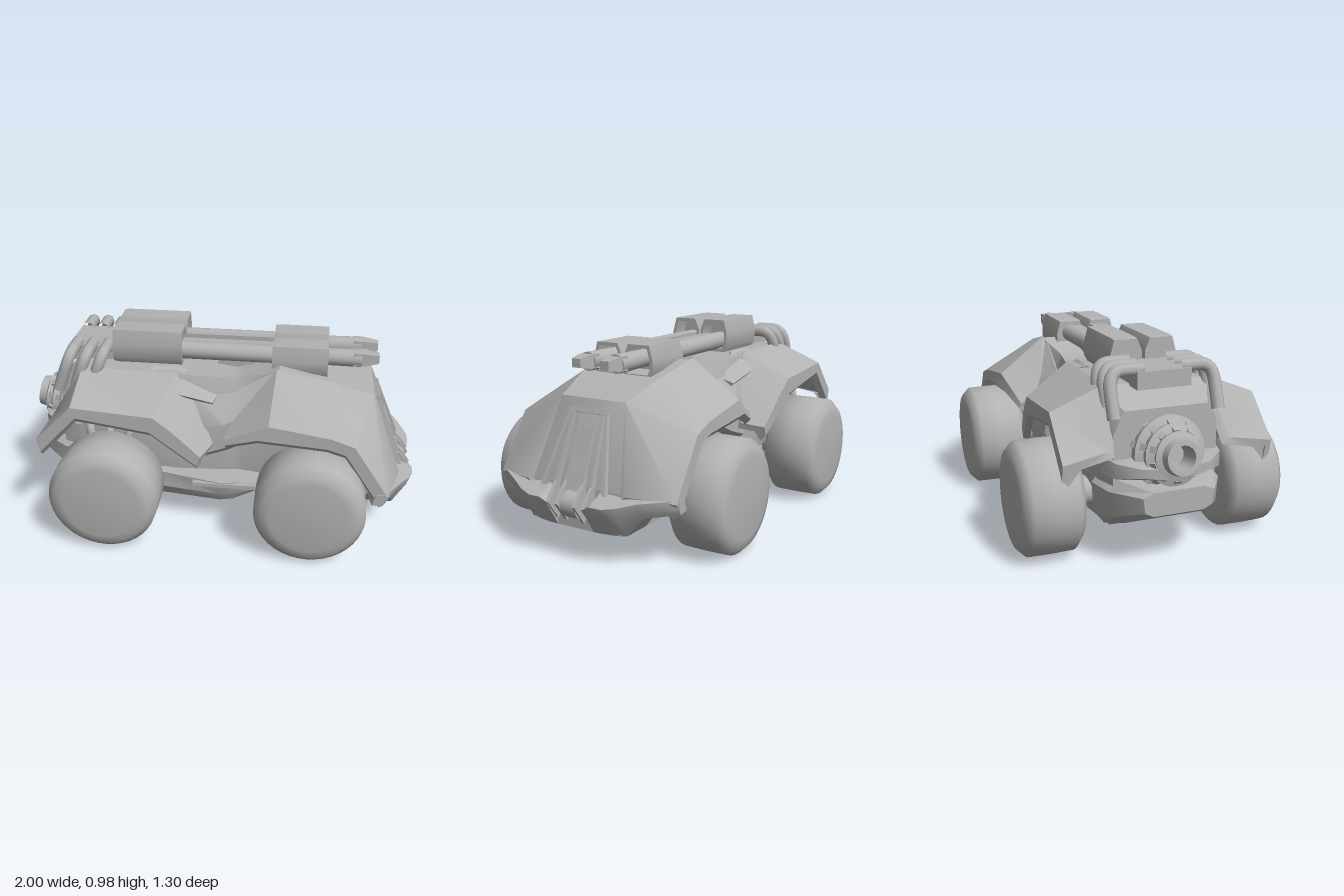
import * as THREE from 'three';
import { toCreasedNormals, mergeGeometries } from 'three/addons/utils/BufferGeometryUtils.js';

// Closed solid through a list of equal-length point loops, with end caps.
function loft(sections) {
  const tris = [], n = sections[0].length, last = sections.length - 1;
  const mid = s => [0, 1, 2].map(k => s.reduce((a, p) => a + p[k], 0) / n);
  for (let i = 0; i < last; i++) for (let j = 0; j < n; j++) {
    const a = sections[i][j], b = sections[i][(j + 1) % n];
    const c = sections[i + 1][(j + 1) % n], d = sections[i + 1][j];
    tris.push([a, b, c], [a, c, d]);
  }
  const m0 = mid(sections[0]), m1 = mid(sections[last]);
  for (let j = 0; j < n; j++) {
    const k = (j + 1) % n;
    tris.push([sections[0][k], sections[0][j], m0], [sections[last][j], sections[last][k], m1]);
  }
  // the signed volume tells whether the faces point outward
  let volume = 0;
  for (const [a, b, c] of tris) {
    volume += a[0] * (b[1] * c[2] - b[2] * c[1]) - a[1] * (b[0] * c[2] - b[2] * c[0]) + a[2] * (b[0] * c[1] - b[1] * c[0]);
  }
  const flat = tris.flatMap(t => (volume < 0 ? [t[0], t[2], t[1]] : t)).flat();
  const geo = new THREE.BufferGeometry();
  geo.setAttribute('position', new THREE.Float32BufferAttribute(flat, 3));
  geo.computeVertexNormals();
  return geo;
}

// Mirror across the centre plane, keeping the faces outward.
function mirrorZ(geo) {
  const g = geo.clone().applyMatrix4(new THREE.Matrix4().makeScale(1, 1, -1));
  for (const name of ['position', 'normal']) {
    const a = g.attributes[name].array;
    for (let i = 0; i < a.length; i += 9) for (let k = 0; k < 3; k++) {
      [a[i + k], a[i + 6 + k]] = [a[i + 6 + k], a[i + k]];
    }
  }
  return g;
}

const box = (w, h, d, x, y, z, tilt = 0) => new THREE.BoxGeometry(w, h, d).rotateZ(tilt).translate(x, y, z);
const rodX = (r0, r1, x0, x1, y, z, sides = 16) =>
  new THREE.CylinderGeometry(r0, r1, x1 - x0, sides).rotateZ(Math.PI / 2).translate((x0 + x1) / 2, y, z);
const rodZ = (r, z0, z1, x, y, sides = 20) =>
  new THREE.CylinderGeometry(r, r, z1 - z0, sides).rotateX(Math.PI / 2).translate(x, y, (z0 + z1) / 2);
const tube = (pts, r) => new THREE.TubeGeometry(
  new THREE.CatmullRomCurve3(pts.map(p => new THREE.Vector3(...p)), false, 'catmullrom', 0.3), 20, r, 8);

// Symmetric section: half outline of [y, z] from top to bottom.
const ring = (x, half) => [
  ...half.map(([y, z]) => [x, y, z]), ...half.slice().reverse().map(([y, z]) => [x, y, -z])];

// Bent armour plate of some thickness from rows of [top, shoulder, lower edge].
const plate = (rows, t = 0.03) => loft(rows.map(row =>
  [...row, ...row.slice().reverse().map(([x, y, z]) => [x, y - t, z - t])]));

export function createModel() {
  const group = new THREE.Group();
  const grey = new THREE.MeshStandardMaterial({ color: 0xb2b2b2 });
  grey.name = 'armour grey';

  function part(name, geo, both = false, crease = 0.6) {
    const g = toCreasedNormals(geo.index ? geo.toNonIndexed() : geo, crease);
    const add = (geometry, label) => {
      const mesh = new THREE.Mesh(geometry, grey);
      mesh.name = label;
      group.add(mesh);
    };
    add(g, both ? name + 'Left' : name);
    if (both) add(mirrorZ(g), name + 'Right');
  }

  // Hull
  part('hull', loft([
    ring(-0.80, [[0.72, 0.20], [0.62, 0.25], [0.36, 0.25], [0.22, 0.16]]),
    ring(-0.68, [[0.81, 0.255], [0.70, 0.28], [0.36, 0.28], [0.145, 0.22]]),
    ring(-0.20, [[0.81, 0.265], [0.72, 0.28], [0.36, 0.31], [0.145, 0.28]]),
    ring(0.08, [[0.77, 0.19], [0.64, 0.25], [0.36, 0.28], [0.145, 0.26]]),
    ring(0.13, [[0.785, 0.19], [0.65, 0.25], [0.36, 0.28], [0.20, 0.25]]),
    ring(0.24, [[0.81, 0.21], [0.70, 0.25], [0.37, 0.29], [0.16, 0.25]]),
    ring(0.30, [[0.84, 0.235], [0.72, 0.26], [0.38, 0.30], [0.145, 0.25]]),
    ring(0.54, [[0.785, 0.215], [0.72, 0.25], [0.38, 0.30], [0.145, 0.26]]),
    ring(0.77, [[0.71, 0.175], [0.68, 0.20], [0.35, 0.28], [0.145, 0.26]]),
    ring(0.91, [[0.34, 0.26], [0.30, 0.27], [0.22, 0.26], [0.15, 0.24]]),
  ]));
  part('bellyRail', box(0.28, 0.02, 0.08, 0.6, 0.14, 0));

  // Side sills with a step
  part('sill', loft([
    [[-0.30, 0.30, 0.2], [-0.30, 0.29, 0.34], [-0.30, 0.21, 0.35], [-0.30, 0.145, 0.31], [-0.30, 0.145, 0.2]],
    [[0.02, 0.29, 0.2], [0.02, 0.28, 0.40], [0.02, 0.20, 0.38], [0.02, 0.145, 0.35], [0.02, 0.145, 0.2]],
    [[0.09, 0.29, 0.2], [0.09, 0.28, 0.39], [0.09, 0.20, 0.37], [0.09, 0.15, 0.34], [0.09, 0.15, 0.2]],
    [[0.22, 0.28, 0.2], [0.22, 0.27, 0.35], [0.22, 0.22, 0.34], [0.22, 0.20, 0.31], [0.22, 0.20, 0.2]],
  ]), true);
  part('sillStep', box(0.32, 0.02, 0.05, 0.05, 0.265, 0.38), true);

  // Wheels, axles and suspension
  const tyre = [[0, -0.145], [0.19, -0.145], [0.232, -0.14], [0.268, -0.11], [0.27, 0],
    [0.268, 0.105], [0.232, 0.14], [0.19, 0.147], [0, 0.15]].map(p => new THREE.Vector2(...p));
  for (const [label, x] of [['rear', -0.525], ['front', 0.483]]) {
    part(label + 'Wheel', new THREE.LatheGeometry(tyre, 40).rotateX(Math.PI / 2).translate(x, 0.27, 0.498), true, 0.9);
    part(label + 'Axle', rodZ(0.07, 0.2, 0.38, x, 0.27), true);
    part(label + 'Struts', mergeGeometries([-0.1, 0, 0.1].map(d =>
      tube([[x + d * 0.8, 0.42, 0.38], [x + d, 0.54, 0.37], [x + d * 1.2, 0.60, 0.27]], 0.022))), true, 0.9);
  }

  // Front fenders
  part('frontFender', plate([
    [[0.08, 0.60, 0.34], [0.05, 0.55, 0.43], [0.06, 0.525, 0.44]],
    [[0.29, 0.85, 0.235], [0.27, 0.665, 0.48], [0.22, 0.59, 0.485]],
    [[0.56, 0.785, 0.215], [0.57, 0.62, 0.485], [0.55, 0.565, 0.485]],
    [[0.77, 0.71, 0.175], [0.68, 0.585, 0.49], [0.64, 0.54, 0.49]],
    [[0.92, 0.335, 0.27], [0.855, 0.32, 0.49], [0.82, 0.27, 0.49]],
  ]), true);

  // Rear fenders
  part('rearFender', plate([
    [[-0.84, 0.56, 0.29], [-0.865, 0.53, 0.50], [-0.85, 0.46, 0.50]],
    [[-0.68, 0.815, 0.25], [-0.68, 0.715, 0.50], [-0.66, 0.66, 0.50]],
    [[-0.20, 0.815, 0.26], [-0.28, 0.68, 0.49], [-0.30, 0.60, 0.49]],
    [[-0.10, 0.66, 0.29], [-0.19, 0.60, 0.48], [-0.22, 0.53, 0.48]],
    [[-0.01, 0.48, 0.35], [-0.06, 0.46, 0.46], [-0.08, 0.41, 0.46]],
  ]), true);

  // Pointed blades and waist panels between the fenders
  part('shoulderBlade', plate([
    [[-0.34, 0.82, 0.20], [-0.32, 0.805, 0.27], [-0.30, 0.785, 0.30]],
    [[-0.18, 0.82, 0.20], [-0.16, 0.77, 0.29], [-0.17, 0.73, 0.33]],
    [[0.0, 0.70, 0.25], [-0.01, 0.69, 0.28], [-0.02, 0.68, 0.30]],
  ], 0.02), true);
  part('waistPanel', plate([
    [[-0.14, 0.74, 0.26], [-0.10, 0.56, 0.33], [-0.06, 0.41, 0.34]],
    [[0.06, 0.70, 0.23], [0.04, 0.58, 0.34], [0.06, 0.45, 0.33]],
    [[0.28, 0.83, 0.22], [0.20, 0.66, 0.32], [0.20, 0.52, 0.32]],
  ]), true);

  // Bumper halves either side of the winch
  part('bumper', loft([
    [0.10, 0.86, 0.29, 0.995, 0.27, 0.985, 0.25, 0.92, 0.145, 0.74, 0.145],
    [0.135, 0.90, 0.335, 1.00, 0.29, 0.99, 0.255, 0.92, 0.145, 0.74, 0.145],
    [0.20, 0.90, 0.335, 0.998, 0.29, 0.985, 0.255, 0.91, 0.145, 0.74, 0.145],
    [0.265, 0.89, 0.335, 0.975, 0.30, 0.965, 0.26, 0.90, 0.15, 0.75, 0.15],
    [0.34, 0.87, 0.335, 0.935, 0.32, 0.92, 0.285, 0.88, 0.24, 0.77, 0.24],
    [0.495, 0.80, 0.335, 0.84, 0.335, 0.84, 0.30, 0.83, 0.27, 0.78, 0.275],
  ].map(([z, ...p]) => [0, 2, 4, 6, 8].map(k => [p[k], p[k + 1], z]))), true);

  // Winch roller with cheek plates
  part('winchRoller', rodZ(0.06, -0.045, 0.045, 0.92, 0.255));
  part('winchBase', box(0.18, 0.05, 0.24, 0.83, 0.17, 0));
  const cheek = z => loft([z, z + 0.016].map(q =>
    [[0.86, 0.17, q], [0.93, 0.18, q], [0.995, 0.27, q], [0.95, 0.33, q], [0.90, 0.38, q], [0.86, 0.36, q]]));
  part('winchCheek', mergeGeometries([cheek(0.04), cheek(0.09)]), true);

  // Sloping nose rails, centre strip and vent slits
  const slope = (y, out) => [0.77 + (0.71 - y) * 0.395 + out * 0.93, y + out * 0.37];
  const strip = (y0, y1, za, zb, zc, zd, out) => loft([[y0, za, zb], [y1, zc, zd]].map(([y, p, q]) =>
    [[...slope(y, -0.02), p], [...slope(y, out), p], [...slope(y, out), q], [...slope(y, -0.02), q]]));
  part('noseRail', strip(0.655, 0.32, 0.09, 0.105, 0.16, 0.18, 0.016), true);
  part('noseInnerRail', strip(0.655, 0.32, 0.075, 0.085, 0.09, 0.105, 0.016), true);
  part('noseCrossbar', strip(0.665, 0.645, -0.105, 0.105, -0.105, 0.105, 0.018));
  part('noseStrip', strip(0.65, 0.32, -0.045, 0.045, -0.05, 0.05, 0.012));
  const slits = [];
  for (const y of [0.61, 0.43]) for (const z of [-0.03, -0.01, 0.01, 0.03]) {
    slits.push(box(0.02, 0.065, 0.007, ...slope(y, 0.012), z, 0.377));
  }
  part('noseSlits', mergeGeometries(slits));

  // Twin guns on the roof, each housing recessed at its front end
  const housing = (x0, x1, y0, y1) => loft([[x0, 0.96], [x0 + 0.02, 1], [x1, 1], [x1, 0.8], [x1 - 0.08, 0.72]].map(([x, s]) => [
    [y0, 0.004], [y0, 0.15], [y0 + 0.03, 0.166], [y1 - 0.07, 0.166], [y1, 0.147], [y1, 0.03], [y1 - 0.06, 0.004],
  ].map(([y, z]) => [x, (y0 + y1) / 2 + (y - (y0 + y1) / 2) * s, 0.085 + (z - 0.085) * s])));
  part('gunBreech', housing(-0.54, -0.19, 0.81, 0.98), true);
  part('gunSleeve', housing(0.26, 0.535, 0.775, 0.93), true);
  part('gunTube', rodX(0.045, 0.045, -0.27, 0.28, 0.865, 0.088), true, 0.9);
  part('gunRail', box(0.46, 0.05, 0.05, 0.03, 0.88, 0.05), true);
  part('gunBarrel', rodX(0.042, 0.045, 0.45, 0.70, 0.862, 0.078), true, 0.9);
  part('gunMuzzle', loft([[0.66, 0.038], [0.72, 0.035], [0.785, 0.023]].map(([x, r]) =>
    [[x, 0.868 - r, 0.078 - r], [x, 0.868 - r, 0.078 + r], [x, 0.868 + r * 0.8, 0.078 + r], [x, 0.868 + r * 0.8, 0.078 - r]])), true);
  part('gunMount', box(0.3, 0.06, 0.2, -0.36, 0.81, 0));
  part('cockpitRidge', box(0.3, 0.05, 0.12, 0.13, 0.78, 0));

  // Bent exhaust pipes, each leaning backward in one plane
  part('exhaustPipes', mergeGeometries([-0.735, -0.655, -0.575].map((x, i) => tube([
    [0.885, 0.09], [0.885, 0.20], [0.865, 0.235], [0.82, 0.25], [0.69 + i * 0.03, 0.25],
  ].map(([y, z]) => [x + (y - 0.885) * 0.38, y, z]), 0.03))), true, 0.9);
  part('exhaustManifold', box(0.25, 0.08, 0.26, -0.65, 0.84, 0));

  // Jet engine at the back, tilted slightly upward
  const jet = [[0, 0], [0.19, 0], [0.20, 0.08], [0.165, 0.11], [0.17, 0.16], [0.135, 0.175], [0.14, 0.21],
    [0.105, 0.225], [0.11, 0.25], [0.085, 0.26], [0.078, 0.30], [0.055, 0.30], [0.045, 0.2], [0, 0.2]];
  const place = g => g.rotateZ(Math.PI / 2 - 0.15).translate(-0.69, 0.50, 0);
  part('jetEngine', place(new THREE.LatheGeometry(jet.map(p => new THREE.Vector2(...p)), 24)));
  const ribs = [];
  for (let i = 0; i < 10; i++) {
    ribs.push(new THREE.BoxGeometry(0.02, 0.15, 0.03).rotateZ(0.5).translate(0.14, 0.17, 0).rotateY(i * Math.PI / 5));
  }
  part('jetRibs', place(mergeGeometries(ribs)));

  // Rear bumper and pads
  part('rearBumper', loft([
    ring(-0.66, [[0.41, 0.26], [0.36, 0.30], [0.22, 0.29], [0.15, 0.24]]),
    ring(-0.80, [[0.41, 0.23], [0.36, 0.27], [0.24, 0.26], [0.20, 0.20]]),
    ring(-0.95, [[0.39, 0.12], [0.37, 0.17], [0.30, 0.16], [0.28, 0.12]]),
  ]));
  part('rearPad', loft([
    [[-0.70, 0.51, 0.10], [-0.70, 0.51, 0.29], [-0.70, 0.42, 0.29], [-0.70, 0.42, 0.10]],
    [[-0.86, 0.51, 0.08], [-0.84, 0.50, 0.25], [-0.84, 0.43, 0.25], [-0.86, 0.42, 0.08]],
    [[-0.95, 0.49, 0.06], [-0.92, 0.49, 0.16], [-0.92, 0.45, 0.16], [-0.95, 0.44, 0.06]],
  ]), true);
  return group;
}
